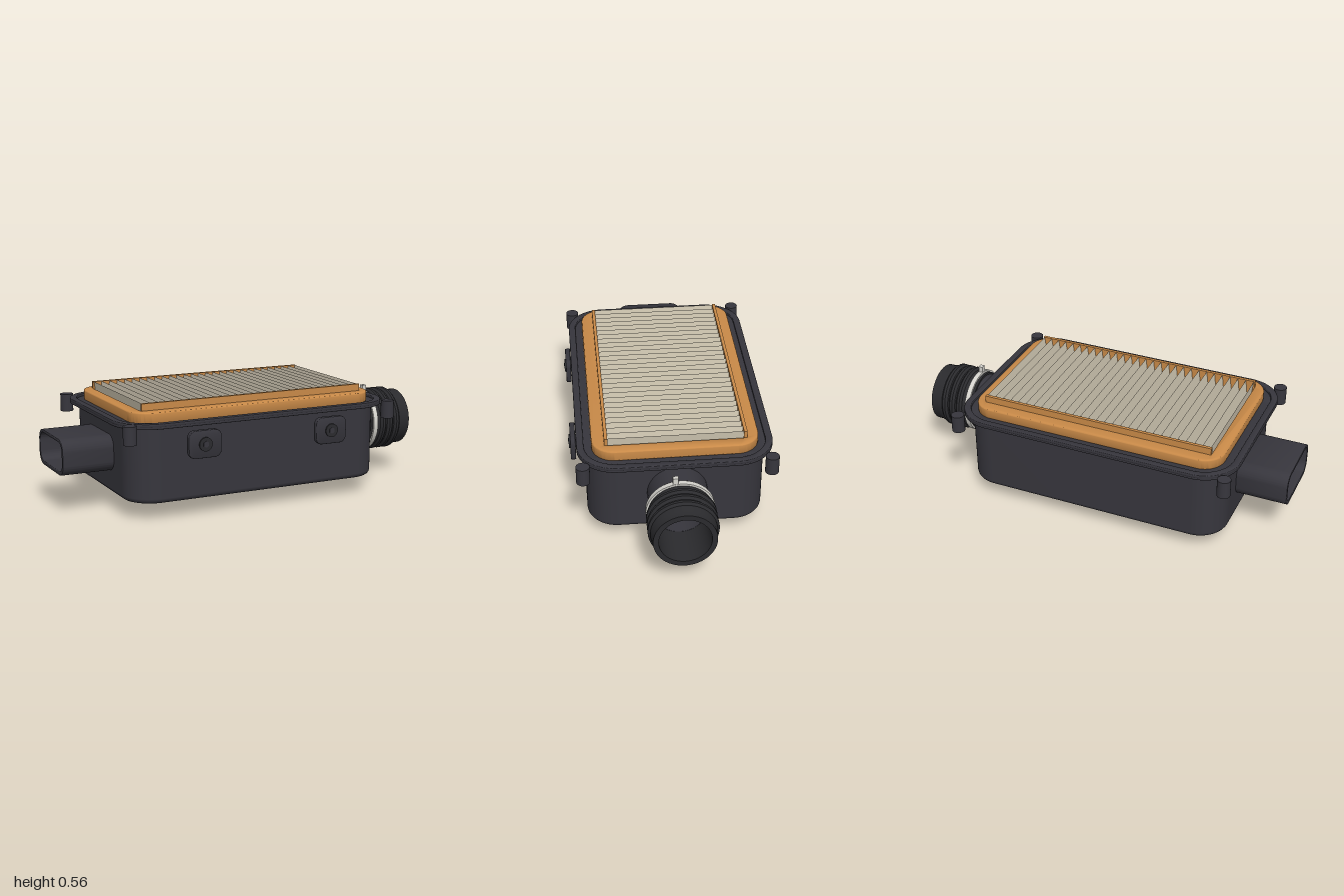
import * as THREE from 'three';
import { toCreasedNormals } from 'three/addons/utils/BufferGeometryUtils.js';

const mat = (name, color, side = THREE.FrontSide) => {
  const m = new THREE.MeshStandardMaterial({ color, side });
  m.name = name;
  return m;
};

// Rounded rectangle centred on (cx, cy), given half sizes
function roundRect(w, h, r, cx = 0, cy = 0, Type = THREE.Shape) {
  const s = new Type();
  s.absarc(cx + w - r, cy + h - r, r, 0, Math.PI / 2);
  s.absarc(cx - w + r, cy + h - r, r, Math.PI / 2, Math.PI);
  s.absarc(cx - w + r, cy - h + r, r, Math.PI, Math.PI * 1.5);
  s.absarc(cx + w - r, cy - h + r, r, Math.PI * 1.5, Math.PI * 2);
  s.closePath();
  return s;
}

function extrude(shape, depth, bevel = 0) {
  const g = new THREE.ExtrudeGeometry(shape, {
    depth: depth - 2 * bevel, curveSegments: 12, bevelEnabled: bevel > 0,
    bevelSize: bevel, bevelThickness: bevel, bevelOffset: -bevel, bevelSegments: 4,
  });
  g.translate(0, 0, bevel);
  return toCreasedNormals(g, 0.6);
}

// Horizontal plate between heights y0 and y1
const plate = (shape, y0, y1, bevel) =>
  extrude(shape, y1 - y0, bevel).rotateX(-Math.PI / 2).translate(0, y0, 0);

const withHole = (shape, hole) => { shape.holes.push(hole); return shape; };

// Profile of [x, radius] pairs turned around the x axis
const turned = (pts) => toCreasedNormals(
  new THREE.LatheGeometry(pts.map(([x, r]) => new THREE.Vector2(r, x)), 48), 0.6).rotateZ(-Math.PI / 2);

export function createModel() {
  const plastic = mat('dark plastic', 0x37363d);
  const rubber = mat('black rubber', 0x2b2b2e);
  const seal = mat('orange seal', 0xc98a48);
  const paper = mat('filter paper', 0xd3cab5, THREE.DoubleSide);
  const steel = mat('clamp steel', 0xd6d4ce);

  const model = new THREE.Group();
  model.name = 'airFilterBox';
  const housing = new THREE.Group();
  housing.name = 'housing';
  housing.position.set(-0.053, 0, -0.0125);
  model.add(housing);
  const add = (parent, name, geo, m, x = 0, y = 0, z = 0) => {
    const mesh = new THREE.Mesh(geo, m);
    mesh.name = name;
    mesh.position.set(x, y, z);
    parent.add(mesh);
    return mesh;
  };

  // Hollow tub: rounded floor, curved long walls, flat end walls with port holes
  const W = 0.688, H = 0.433, R = 0.15, T = 0.015;
  add(housing, 'floor', plate(roundRect(W, H, R), 0.085, 0.14, 0.025), plastic);
  const band = new THREE.Shape();
  band.moveTo(-W, H - R);
  band.absarc(-W + R, H - R, R, Math.PI, Math.PI / 2, true);
  band.absarc(W - R, H - R, R, Math.PI / 2, 0, true);
  band.absarc(W - R, H - R, R - T, 0, Math.PI / 2, false);
  band.absarc(-W + R, H - R, R - T, Math.PI / 2, Math.PI, false);
  band.closePath();
  const wall = plate(band, 0.11, 0.462);
  add(housing, 'backWall', wall, plastic);
  add(housing, 'frontWall', wall, plastic).rotation.y = Math.PI;

  const circle = new THREE.Path();
  circle.absarc(0, 0.29, 0.123, 0, Math.PI * 2);
  const endWall = (hole) => extrude(
    withHole(roundRect(H - R, 0.176, 0.001, 0, 0.286), hole), T).rotateY(Math.PI / 2);
  add(housing, 'outletWall', endWall(circle), plastic, W - T);
  add(housing, 'inletWall',
    endWall(roundRect(0.167, 0.072, 0.045, 0, 0.292, THREE.Path)), plastic, -W);

  // Flange with a raised outer rim
  add(housing, 'flange', plate(withHole(roundRect(0.735, 0.475, 0.19),
    roundRect(0.62, 0.36, 0.09, 0, 0, THREE.Path)), 0.458, 0.472, 0.003), plastic);
  add(housing, 'flangeRim', plate(withHole(roundRect(0.735, 0.475, 0.19),
    roundRect(0.7, 0.44, 0.155, 0, 0, THREE.Path)), 0.466, 0.485, 0.004), plastic);

  // Corner screw bosses
  for (const sx of [-1, 1]) for (const sz of [-1, 1])
    add(housing, 'screwBoss', new THREE.CylinderGeometry(0.033, 0.033, 0.09, 24), plastic,
      sx * 0.708, 0.44, sz * 0.451);

  // Filter element: seal ring, side strips and pleats
  add(housing, 'sealRing', plate(withHole(roundRect(0.66, 0.403, 0.11),
    roundRect(0.6, 0.335, 0.012, 0, 0, THREE.Path)), 0.47, 0.525, 0.008), seal);
  for (const s of [-1, 1])
    add(housing, 'sideStrip', new THREE.BoxGeometry(1.206, 0.09, 0.016), seal, 0, 0.515, s * 0.335);

  const pleats = 28;
  let fold = new THREE.PlaneGeometry(1.195, 0.656, pleats * 2, 1).rotateX(-Math.PI / 2);
  const pos = fold.attributes.position;
  for (let i = 0; i < pos.count; i++)
    pos.setY(i, (i % (pleats * 2 + 1)) % 2 ? 0.388 : 0.559);
  fold = fold.toNonIndexed();
  fold.computeVertexNormals();
  add(housing, 'pleatedPaper', fold, paper);

  // Rectangular inlet duct
  const duct = withHole(roundRect(0.184, 0.09, 0.06, 0, 0.29),
    roundRect(0.167, 0.072, 0.045, 0, 0.292, THREE.Path));
  add(model, 'inletDuct', extrude(duct, 0.265, 0.003).rotateY(Math.PI / 2), plastic, -1, 0, -0.0145);

  // Round outlet: stub, clamp and ribbed hose
  const outlet = new THREE.Group();
  outlet.name = 'outlet';
  outlet.position.set(0, 0.29, -0.0115);
  model.add(outlet);
  add(outlet, 'outletStub', turned([[0.625, 0.123], [0.625, 0.146], [0.79, 0.146],
    [0.79, 0.123], [0.625, 0.123]]), plastic);
  const hose = [[0.75, 0.124], [0.75, 0.156], [0.795, 0.156]];
  for (const x of [0.83, 0.873, 0.916])
    hose.push([x - 0.018, 0.157], [x - 0.007, 0.168], [x + 0.007, 0.168], [x + 0.018, 0.157]);
  hose.push([0.945, 0.157], [0.965, 0.15], [1, 0.15], [1, 0.124], [0.75, 0.124]);
  add(outlet, 'ribbedHose', turned(hose), rubber);
  add(outlet, 'hoseClamp', turned([[0.764, 0.15], [0.764, 0.166], [0.79, 0.166],
    [0.79, 0.15], [0.764, 0.15]]), steel);
  add(outlet, 'clampScrew', new THREE.BoxGeometry(0.022, 0.035, 0.026), steel, 0.777, 0.178, 0.024);

  // Front mounting pads with a grommet
  for (const x of [-0.398, 0.293]) {
    const pad = new THREE.Group();
    pad.name = 'mountingPad';
    pad.position.set(x, 0.372, 0);
    model.add(pad);
    add(pad, 'padPlate', extrude(roundRect(0.086, 0.068, 0.035), 0.026, 0.004), plastic, 0, 0, 0.464);
    add(pad, 'padGrommet', new THREE.CylinderGeometry(0.034, 0.034, 0.042, 32).rotateX(Math.PI / 2),
      rubber, 0, 0, 0.476);
    add(pad, 'padBolt', new THREE.CylinderGeometry(0.016, 0.016, 0.042, 6).rotateX(Math.PI / 2),
      plastic, 0, 0, 0.478);
  }

  // Drain nipple under the floor
  add(model, 'drainStem', new THREE.CylinderGeometry(0.019, 0.019, 0.085, 20), plastic, -0.397, 0.0525, -0.183);
  add(model, 'drainFoot', new THREE.CylinderGeometry(0.025, 0.025, 0.02, 20), rubber, -0.397, 0.01, -0.183);

  return model;
}
